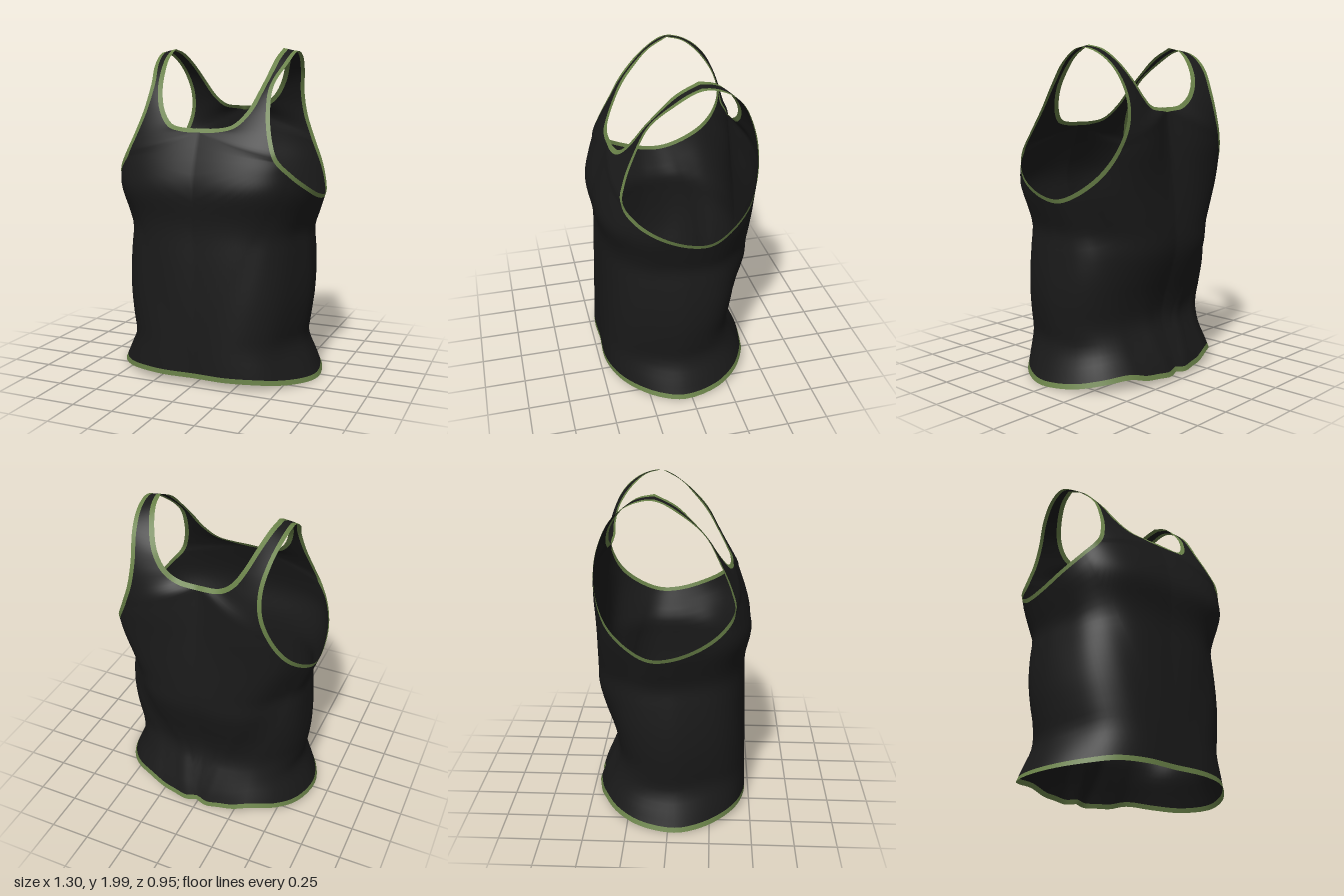
import * as THREE from 'three';
import { mergeVertices } from 'three/addons/utils/BufferGeometryUtils.js';

// Torso sections: height, half width, front depth, back depth, spine groove depth, squareness of the back
const SECTIONS = [
  [0.0, 0.65, 0.47, 0.466, 0, 2.2], [0.1, 0.607, 0.472, 0.438, 0, 2.2], [0.24, 0.553, 0.472, 0.38, 0, 2.2],
  [0.35, 0.566, 0.47, 0.335, 0, 2.25], [0.5, 0.582, 0.465, 0.355, 0, 2.3], [0.65, 0.582, 0.458, 0.4, 0, 2.3],
  [0.8, 0.57, 0.45, 0.438, 0, 2.3], [0.92, 0.56, 0.442, 0.436, 0, 2.4], [1.0, 0.585, 0.445, 0.434, 0.005, 2.5],
  [1.17, 0.635, 0.472, 0.427, 0.015, 2.7], [1.28, 0.635, 0.445, 0.432, 0.035, 2.75], [1.4, 0.625, 0.4, 0.442, 0.058, 2.75],
  [1.53, 0.62, 0.349, 0.437, 0.07, 2.75], [1.64, 0.62, 0.318, 0.423, 0.07, 2.75], [2.0, 0.6, 0.3, 0.33, 0.03, 2.75],
];
const FRONT_POWER = 2.7;
const sectionAt = new THREE.CubicInterpolant(
  SECTIONS.map((s) => s[0]), SECTIONS.flatMap((s) => s.slice(1)), 5, new Float32Array(5));

// Radius of the torso at an angle (0 = front, PI = back) and a height
function torsoRadius(angle, y) {
  const [width, front, back, groove, backPower] = sectionAt.evaluate(THREE.MathUtils.clamp(y, 0, 1.999));
  const s = Math.abs(Math.sin(angle)), c = Math.cos(angle);
  const depth = c > 0 ? front : back, power = c > 0 ? FRONT_POWER : backPower;
  const r = ((s / width) ** power + Math.abs(c / depth) ** power) ** (-1 / power);
  return c < 0 ? r - groove * Math.exp(-((s / 0.45) ** 2)) : r;
}

// Point between a and b that follows the torso and meets both ends exactly
function onSurface(a, b, t) {
  const lerp = THREE.MathUtils.lerp;
  const angA = Math.atan2(a.x, a.z), angB = Math.atan2(b.x, b.z);
  const offA = Math.hypot(a.x, a.z) - torsoRadius(angA, a.y);
  const offB = Math.hypot(b.x, b.z) - torsoRadius(angB, b.y);
  const ang = lerp(angA, angB, t), y = lerp(a.y, b.y, t);
  const r = torsoRadius(ang, y) + lerp(offA, offB, t);
  return new THREE.Vector3(r * Math.sin(ang), y, r * Math.cos(ang));
}

// Move an edge point into the cloth, square to the edge
function inset(edge, tangent, toward, width) {
  const d = onSurface(edge, toward, 0.1).sub(edge);
  d.addScaledVector(tangent, -d.dot(tangent)).setLength(width);
  const p = edge.clone().add(d);
  if (Math.abs(edge.x) < 1e-6) p.x = 0;
  return p;
}

const curve = (points, closed = false) =>
  new THREE.CatmullRomCurve3(points.map((p) => new THREE.Vector3(...p)), closed, 'centripetal');

// Left armhole edge, from the shoulder down the front and up the back
const ARMHOLE = [
  [0.45, 1.975, -0.08], [0.435, 1.9, 0.06], [0.395, 1.77, 0.2], [0.405, 1.62, 0.283], [0.442, 1.47, 0.35],
  [0.482, 1.37, 0.373], [0.55, 1.28, 0.31], [0.608, 1.2, 0.19], [0.635, 1.14, 0.03], [0.635, 1.13, -0.1],
  [0.602, 1.18, -0.22], [0.54, 1.29, -0.345], [0.468, 1.43, -0.41], [0.412, 1.58, -0.425], [0.398, 1.72, -0.395],
  [0.42, 1.865, -0.32], [0.442, 1.95, -0.21],
];
const armhole = curve(ARMHOLE, true);

const neckFront = curve([
  [0.36, 1.995, -0.08], [0.35, 1.93, 0.04], [0.335, 1.84, 0.13], [0.31, 1.74, 0.213],
  [0.265, 1.63, 0.28], [0.19, 1.55, 0.33], [0.09, 1.53, 0.35], [0, 1.53, 0.353],
]);
const hem = curve([
  [0, 0.05, 0.467], [0.2, 0.05, 0.472], [0.37, 0.046, 0.428], [0.49, 0.03, 0.342], [0.6, 0.015, 0.2],
  [0.65, 0.008, 0.04], [0.605, 0.025, -0.18], [0.5, 0.055, -0.325], [0.36, 0.072, -0.408], [0.25, 0.045, -0.44],
  [0.16, 0.038, -0.457], [0.07, 0.031, -0.47], [0, 0.042, -0.455],
]);
const neckBack = curve([
  [0, 1.635, -0.353], [0.12, 1.645, -0.355], [0.2, 1.7, -0.36], [0.26, 1.79, -0.337],
  [0.31, 1.9, -0.262], [0.342, 1.97, -0.175], [0.36, 1.995, -0.08],
]);

const RINGS = 26;

// Pair a stretch of the armhole with an outer edge that carries a trim
function trimmedStretch(edgeCurve, from, to, count, width) {
  const arm = [], edge = [], inner = [];
  for (let i = 0; i <= count; i++) {
    const s = i / count;
    arm.push(armPoint(from, to, s));
    edge.push(edgeCurve.getPoint(s));
    // Front and back meet square on the shoulder
    const tangent = edge[i].y > 1.994 ? new THREE.Vector3(0, 0, 1) : edgeCurve.getTangent(s);
    inner.push(inset(edge[i], tangent, arm[i].point, width));
  }
  return { arm, edge, inner };
}

function armPoint(from, to, s) {
  const u = ((from + (to - from) * s) / ARMHOLE.length) % 1;
  return { point: armhole.getPoint(u), tangent: armhole.getTangent(u) };
}

// Pair a stretch of the armhole with the middle line of the chest or back
function middleStretch(start, end, from, to, count) {
  const arm = [], inner = [];
  for (let i = 0; i <= count; i++) {
    arm.push(armPoint(from, to, i / count));
    inner.push(i === 0 ? start.clone() : i === count ? end.clone() : onSurface(start, end, i / count));
    inner[i].x = 0;
  }
  return { arm, inner };
}

// Add the quads between two rows, and their mirror image
function addStrip(list, rowA, rowB) {
  const tri = (a, b, c) => {
    for (const p of [a, b, c]) list.push(p.x, p.y, p.z);
    for (const p of [a, c, b]) list.push(-p.x, p.y, p.z);
  };
  for (let i = 0; i < rowA.length - 1; i++) {
    tri(rowA[i], rowB[i], rowB[i + 1]);
    tri(rowA[i], rowB[i + 1], rowA[i + 1]);
  }
}

function makeMesh(name, list, material) {
  let geometry = new THREE.BufferGeometry();
  geometry.setAttribute('position', new THREE.Float32BufferAttribute(list, 3));
  geometry = mergeVertices(geometry, 1e-4);
  geometry.computeVertexNormals();
  const mesh = new THREE.Mesh(geometry, material);
  mesh.name = name;
  return mesh;
}

export function createModel() {
  const cloth = new THREE.MeshStandardMaterial({ color: 0x1a1a1a, side: THREE.DoubleSide });
  cloth.name = 'charcoal cloth';
  const binding = new THREE.MeshStandardMaterial({ color: 0x698148, side: THREE.DoubleSide });
  binding.name = 'olive binding';

  const front = trimmedStretch(neckFront, 0, 5, 28, 0.03);
  const bottom = trimmedStretch(hem, 6, 11, 48, 0.03);
  const back = trimmedStretch(neckBack, 12, 17, 28, 0.03);
  const last = (row) => row[row.length - 1];
  const chest = middleStretch(last(front.inner), bottom.inner[0], 5, 6, 18);
  const spine = middleStretch(last(bottom.inner), back.inner[0], 11, 12, 18);

  const body = [], armTrim = [], neckTrim = [], hemTrim = [];
  for (const part of [front, chest, bottom, spine, back]) {
    // Armhole binding
    const armEdge = part.arm.map((a) => a.point);
    const armInner = part.arm.map((a, i) => inset(a.point, a.tangent, part.inner[i], 0.025));
    addStrip(armTrim, armEdge, armInner);

    // Cloth between the armhole and the outer edge
    let row = armInner;
    for (let k = 1; k <= RINGS; k++) {
      const next = k === RINGS ? part.inner : armInner.map((a, i) => onSurface(a, part.inner[i], k / RINGS));
      addStrip(body, row, next);
      row = next;
    }

    // Neck or hem binding
    if (part.edge) addStrip(part === bottom ? hemTrim : neckTrim, part.inner, part.edge);
  }

  const group = new THREE.Group();
  group.name = 'tankTop';
  group.add(
    makeMesh('body', body, cloth),
    makeMesh('armholeTrim', armTrim, binding),
    makeMesh('neckTrim', neckTrim, binding),
    makeMesh('hemTrim', hemTrim, binding),
  );
  return group;
}
